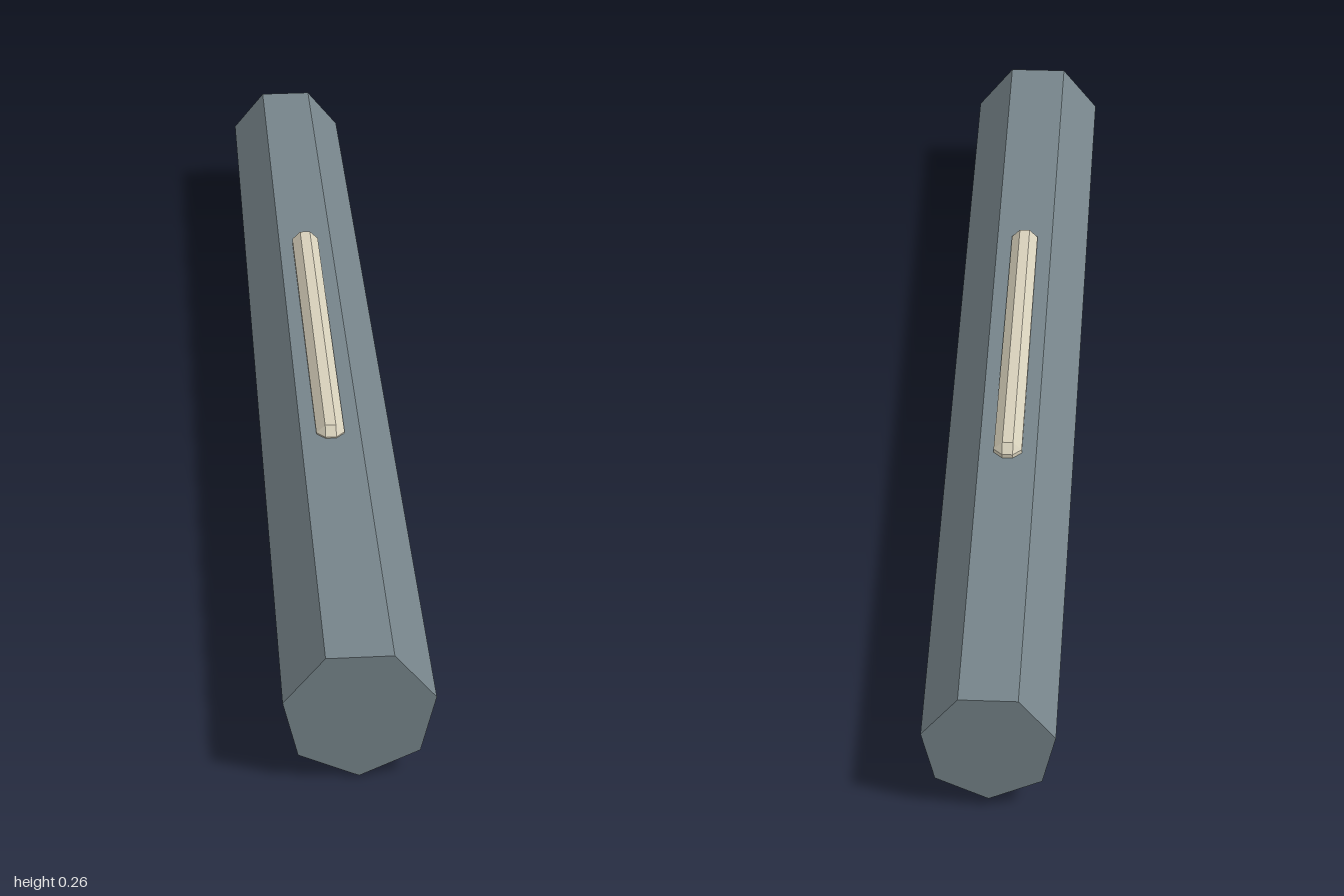
import * as THREE from 'three';
import { ConvexGeometry } from 'three/addons/geometries/ConvexGeometry.js';

// Box with every edge cut by a single flat chamfer
function chamferedBox(w, h, d, c) {
  const half = [w / 2, h / 2, d / 2];
  const points = [];
  for (const sx of [-1, 1]) for (const sy of [-1, 1]) for (const sz of [-1, 1]) {
    const signs = [sx, sy, sz];
    for (let face = 0; face < 3; face++) {
      points.push(new THREE.Vector3(
        ...signs.map((s, axis) => s * (half[axis] - (axis === face ? 0 : c)))));
    }
  }
  return new ConvexGeometry(points);
}

export function createModel() {
  const group = new THREE.Group();
  group.name = 'taperedBar';
  const centreY = 0.128;

  const slate = new THREE.MeshStandardMaterial({ color: 0x76848a });
  slate.name = 'slateGrey';
  slate.flatShading = true;
  const ivory = new THREE.MeshStandardMaterial({ color: 0xd6cfba });
  ivory.name = 'ivory';
  ivory.flatShading = true;

  // Seven-sided shaft, slightly wider at the front, one ridge pointing down
  const shaft = new THREE.Mesh(
    new THREE.CylinderGeometry(0.127, 0.112, 2, 7).rotateX(Math.PI / 2), slate);
  shaft.name = 'shaft';
  shaft.position.y = centreY;
  group.add(shaft);

  // Upright insert passing through the shaft, showing above and below
  const insert = new THREE.Mesh(chamferedBox(0.05, 0.256, 0.725, 0.0155), ivory);
  insert.name = 'insert';
  insert.position.y = centreY;
  group.add(insert);

  return group;
}
